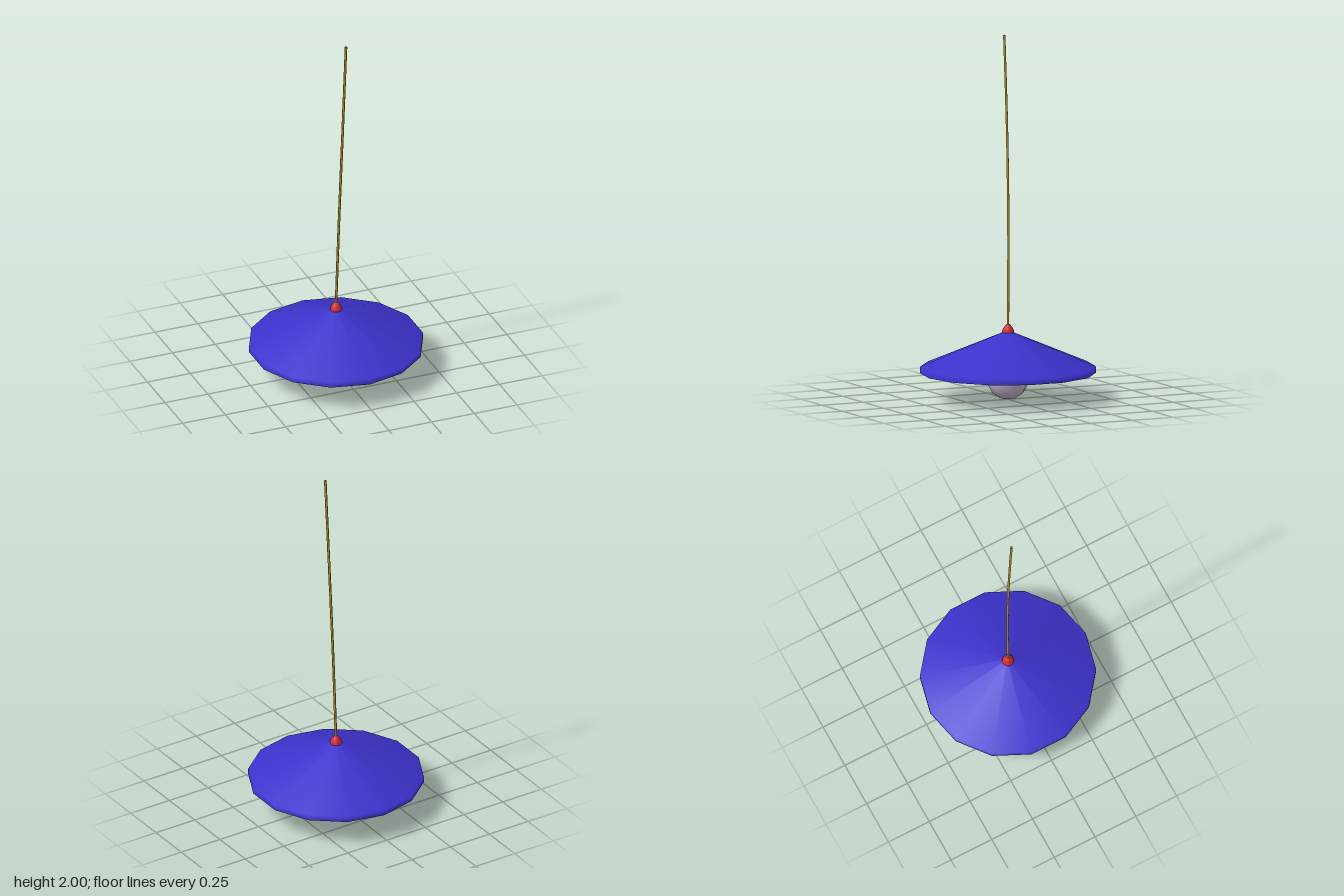
import * as THREE from 'three';

// Turned part from [radius, height] pairs
function turned(name, profile, sides, color, start = 0) {
  const points = profile.map(([r, y]) => new THREE.Vector2(r, y));
  const mesh = new THREE.Mesh(
    new THREE.LatheGeometry(points, sides, start),
    new THREE.MeshStandardMaterial({ color, side: THREE.DoubleSide })
  );
  mesh.name = name;
  return mesh;
}

export function createModel() {
  const group = new THREE.Group();
  group.name = 'pendantLamp';
  const blue = 0x3c32cc;

  // Shallow conical shade: outer skin with a short rim, and a thin inner skin
  const shade = new THREE.Group();
  shade.name = 'shade';
  shade.add(
    turned('shadeOuter', [[0.477, 0.145], [0.477, 0.178], [0.015, 0.372], [0, 0.373]], 14, blue),
    turned('shadeLip', [[0.4, 0.2], [0.477, 0.145]], 14, blue),
    turned('shadeInner', [[0, 0.36], [0.015, 0.358], [0.4, 0.2]], 14, blue)
  );
  group.add(shade);

  // Round bulb with a long neck reaching up to the shade
  group.add(turned('bulb', [
    [0, 0], [0.045, 0.009], [0.084, 0.035], [0.109, 0.08], [0.109, 0.115],
    [0.088, 0.16], [0.06, 0.205], [0.062, 0.25], [0.066, 0.29], [0.056, 0.322], [0, 0.335],
  ], 10, 0xc4b6cc, Math.PI / 2));

  // Domed cap where the cord enters the shade
  group.add(turned('cap', [
    [0.033, 0.366], [0.031, 0.38], [0.02, 0.399], [0.009, 0.411], [0, 0.412],
  ], 10, 0xd02a30, Math.PI / 2));

  // Slightly bowed hanging cord
  const path = new THREE.CatmullRomCurve3([
    new THREE.Vector3(0, 0.39, 0),
    new THREE.Vector3(0.015, 0.9, 0.005),
    new THREE.Vector3(0.03, 1.45, 0.02),
    new THREE.Vector3(0.041, 2, 0.043),
  ]);
  const cord = new THREE.Mesh(
    new THREE.TubeGeometry(path, 16, 0.007, 6),
    new THREE.MeshStandardMaterial({ color: 0xb8962e, side: THREE.DoubleSide })
  );
  cord.name = 'cord';
  group.add(cord);

  return group;
}
